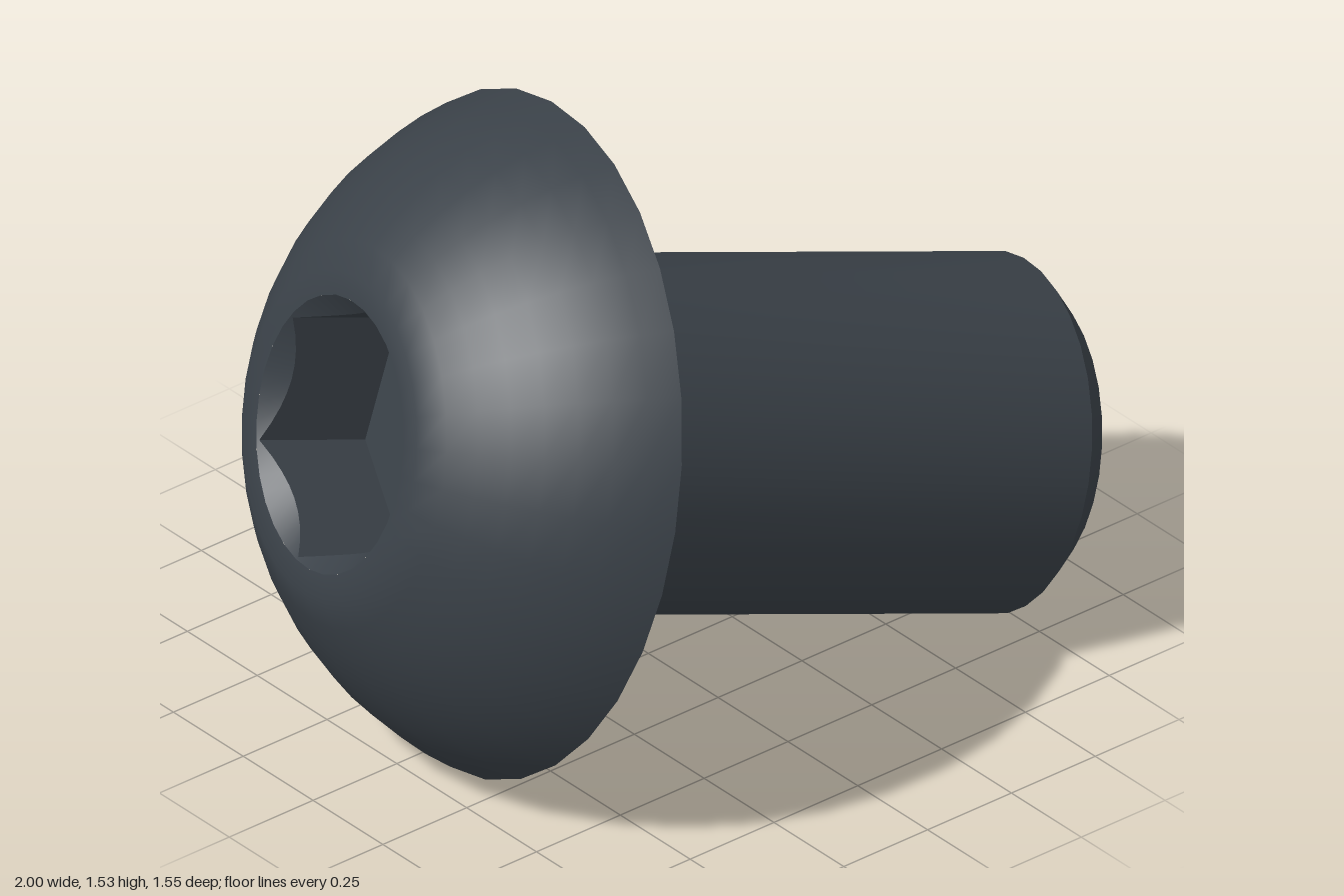
import * as THREE from 'three';
import { toCreasedNormals } from 'three/addons/utils/BufferGeometryUtils.js';

const steel = new THREE.MeshStandardMaterial({ color: 0x3a4148 });
steel.name = 'dark steel';

const HEAD_R = 0.795, HEAD_H = 0.46, FACE_R = 0.38; // button head
const SHAFT_R = 0.417, TIP_R = 0.347, TIP_Y = -1.405; // shaft and chamfered tip
const FILLET = 0.035;
const MOUTH_R = 0.322, HEX_R = 0.317, SOCKET_DEPTH = 0.29; // hex socket

const v2 = (x, y) => new THREE.Vector2(x, y);

function part(name, geometry) {
  const mesh = new THREE.Mesh(toCreasedNormals(geometry, Math.PI / 6), steel);
  mesh.name = name;
  return mesh;
}

// Shaft with flat end, chamfer and a small fillet under the head
function shaft() {
  const pts = [v2(0, TIP_Y), v2(TIP_R, TIP_Y), v2(SHAFT_R, TIP_Y + SHAFT_R - TIP_R)];
  for (let i = 0; i <= 4; i++) {
    const a = Math.PI - (i / 4) * Math.PI / 2;
    pts.push(v2(SHAFT_R + FILLET * (1 + Math.cos(a)), FILLET * (Math.sin(a) - 1)));
  }
  return part('shaft', new THREE.LatheGeometry(pts, 32));
}

// Flat underside, spherical dome and flat ring around the socket
function head() {
  const drop = (HEAD_R ** 2 - FACE_R ** 2 - HEAD_H ** 2) / (2 * HEAD_H);
  const radius = Math.hypot(HEAD_R, drop);
  const a0 = Math.atan2(drop, HEAD_R), a1 = Math.atan2(HEAD_H + drop, FACE_R);
  const pts = [v2(SHAFT_R + FILLET, 0)];
  for (let i = 0; i <= 8; i++) {
    const a = a0 + (a1 - a0) * i / 8;
    pts.push(v2(radius * Math.cos(a), radius * Math.sin(a) - drop));
  }
  pts.push(v2(MOUTH_R, HEAD_H));
  return part('buttonHead', new THREE.LatheGeometry(pts, 32));
}

// Hex recess: a lathe whose wall rings are reshaped to a hexagon, with a 45 degree lead-in
function socket() {
  const floorY = HEAD_H - SOCKET_DEPTH, segments = 48, rings = 4;
  const geo = new THREE.LatheGeometry(
    [v2(MOUTH_R, HEAD_H), v2(HEX_R, HEAD_H), v2(HEX_R, floorY), v2(0, floorY)], segments);
  const pos = geo.attributes.position;
  for (let s = 0; s <= segments; s++) {
    const phi = (s / segments) * Math.PI * 2;
    const r = HEX_R * Math.cos(Math.PI / 6) / Math.cos(phi % (Math.PI / 3) - Math.PI / 6);
    const x = r * Math.sin(phi), z = r * Math.cos(phi);
    pos.setXYZ(s * rings + 1, x, HEAD_H - (MOUTH_R - r), z);
    pos.setXYZ(s * rings + 2, x, floorY, z);
  }
  return part('hexSocket', geo);
}

export function createModel() {
  const screw = new THREE.Group();
  screw.name = 'screw';
  screw.add(shaft(), head(), socket());

  // Lean the screw so that it rests on the head rim and the shaft tip
  const axis = new THREE.Vector3(-0.941, 0.273, -0.202).normalize();
  const up = new THREE.Vector3(0, 1, 0).addScaledVector(axis, -axis.y).normalize();
  const side = new THREE.Vector3().crossVectors(axis, up);
  screw.quaternion.setFromRotationMatrix(new THREE.Matrix4().makeBasis(side, axis, up));
  screw.position.set(-0.44, 0.766, 0);

  const model = new THREE.Group();
  model.name = 'buttonHeadScrew';
  model.add(screw);
  return model;
}
